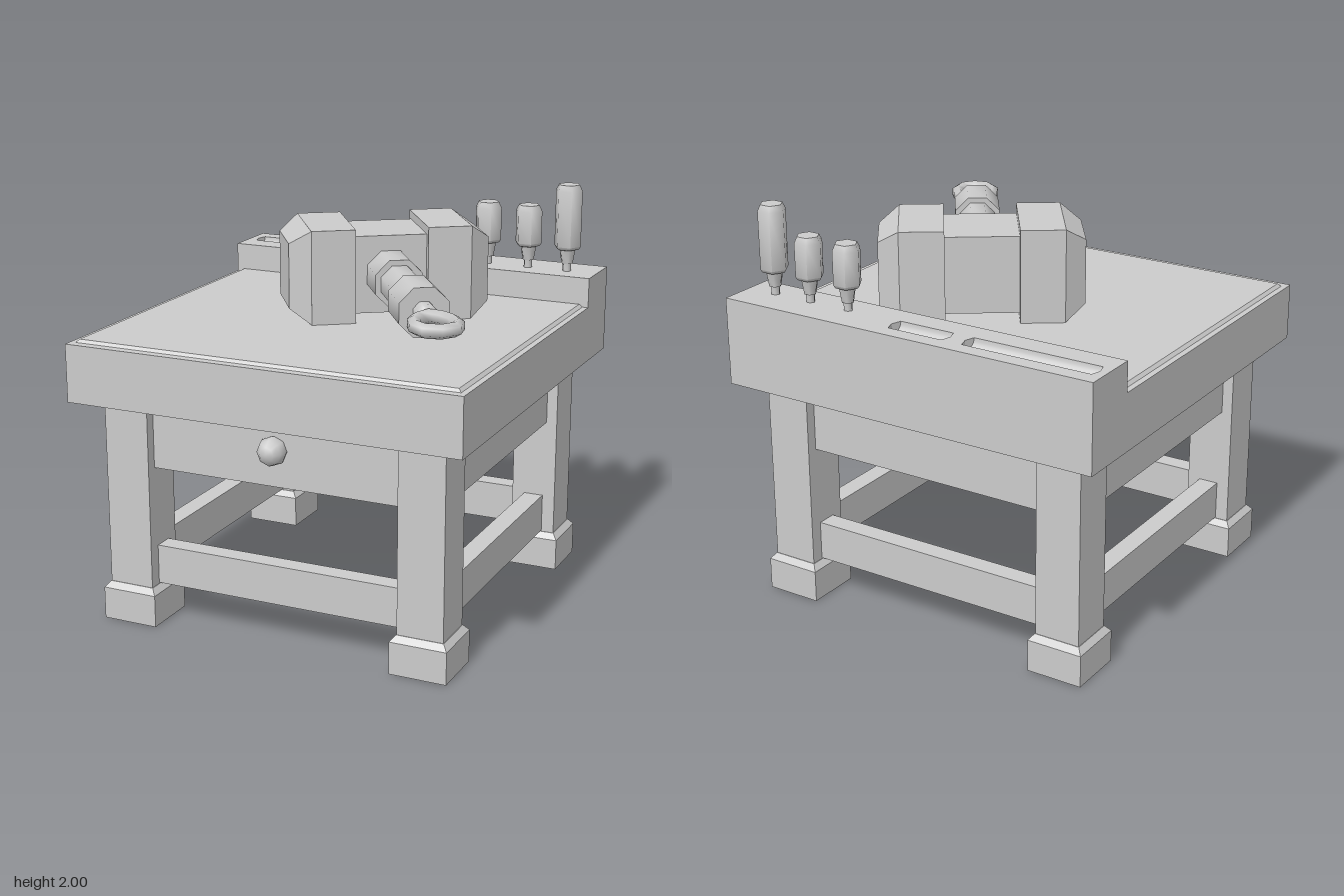
import * as THREE from 'three';
import { toCreasedNormals } from 'three/addons/utils/BufferGeometryUtils.js';

const flat = new THREE.MeshStandardMaterial({ color: 0xcccccc, flatShading: true });
const smooth = new THREE.MeshStandardMaterial({ color: 0xcccccc });
const open = new THREE.MeshStandardMaterial({ color: 0xcccccc, side: THREE.DoubleSide });

function add(parent, name, geometry, material = flat) {
  const mesh = new THREE.Mesh(geometry, material);
  mesh.name = name;
  parent.add(mesh);
  return mesh;
}

// Box given by its limits on each axis
function span(x0, x1, y0, y1, z0, z1) {
  return new THREE.BoxGeometry(x1 - x0, y1 - y0, z1 - z0)
    .translate((x0 + x1) / 2, (y0 + y1) / 2, (z0 + z1) / 2);
}

// Square block tapering from width w0 (bottom) to w1 (top), base at y = 0
function taper(w0, w1, h) {
  return new THREE.CylinderGeometry(w1 / Math.SQRT2, w0 / Math.SQRT2, h, 4)
    .rotateY(Math.PI / 4).translate(0, h / 2, 0);
}

// Faceted turned part, rotated so that flats face the axes
function turned(profile, sides) {
  const points = profile.map(([r, y]) => new THREE.Vector2(r, y));
  const g = new THREE.LatheGeometry(points, sides).rotateY(Math.PI / sides);
  return toCreasedNormals(g, 1.1);
}

function createTable() {
  const table = new THREE.Group();
  table.name = 'table';

  // Top slab with a slightly raised work surface
  add(table, 'topSlab', span(-1, 1, 1.12, 1.405, -0.7, 1));
  const panel = taper(1, 0.985, 0.015).scale(1.94, 1, 1.66).translate(0, 1.405, 0.125);
  add(table, 'workSurface', panel);

  // Back rail with two rounded trays let into its top
  add(table, 'backRail', span(-1, 1, 1.12, 1.5, -1, -0.7));
  const rail = new THREE.Shape([[-1, 0.7], [1, 0.7], [1, 1], [-1, 1]].map(p => new THREE.Vector2(...p)));
  for (const [x0, x1] of [[-0.96, -0.27], [-0.19, 0.13]]) {
    rail.holes.push(new THREE.Path([
      [x0, 0.87], [x0 + 0.015, 0.92], [x1 - 0.015, 0.92],
      [x1, 0.87], [x1 - 0.015, 0.82], [x0 + 0.015, 0.82],
    ].map(p => new THREE.Vector2(...p))));
    const tray = new THREE.CylinderGeometry(0.05, 0.05, x1 - x0, 12, 1, true, Math.PI / 2, Math.PI)
      .rotateY(Math.PI / 2).rotateZ(Math.PI / 2);
    // Keep the lower half of the tube as the tray floor
    const pos = tray.attributes.position;
    for (let i = 0; i < pos.count; i++) pos.setY(i, -Math.abs(pos.getY(i)));
    tray.computeVertexNormals();
    add(table, 'trayFloor', tray.translate((x0 + x1) / 2, 1.553, -0.87), open);
  }
  const railTop = new THREE.ExtrudeGeometry(rail, { depth: 0.055, bevelEnabled: false });
  add(table, 'railTop', railTop.rotateX(-Math.PI / 2).translate(0, 1.5, 0));

  // Drawer case and knob
  add(table, 'drawerCase', span(-0.82, 0.82, 0.79, 1.12, -0.82, 0.82));
  add(table, 'drawerKnob', new THREE.SphereGeometry(0.072, 8, 6).rotateX(Math.PI / 2)
    .translate(0, 0.97, 0.84), smooth);

  // Legs with block feet
  for (const sx of [-1, 1]) for (const sz of [-1, 1]) {
    const leg = new THREE.Group();
    leg.name = 'leg';
    leg.position.set(sx * 0.76, 0, sz * 0.76);
    add(leg, 'legPost', span(-0.115, 0.115, 0.16, 1.12, -0.115, 0.115));
    add(leg, 'foot', span(-0.142, 0.142, 0, 0.16, -0.142, 0.142));
    add(leg, 'footBevel', taper(0.284, 0.235, 0.03).translate(0, 0.16, 0));
    table.add(leg);
  }

  // Four stretchers between the legs
  for (let i = 0; i < 4; i++) {
    add(table, 'stretcher', span(-0.65, 0.65, 0.195, 0.39, 0.71, 0.81).rotateY(i * Math.PI / 2));
  }
  return table;
}

function createHammer() {
  const hammer = new THREE.Group();
  hammer.name = 'hammer';
  hammer.position.set(0.148, 1.65, -0.103);
  hammer.rotation.y = 0.608;

  // Head: centre block and two bevelled striking blocks
  add(hammer, 'headCentre', span(-0.18, 0.18, -0.19, 0.19, -0.255, 0.125));
  for (const side of [-1, 1]) {
    const block = new THREE.BoxGeometry(0.215, 0.46, 0.46);
    add(hammer, 'headBlock', block.translate(side * 0.285, 0, -0.065));
    const face = taper(0.46, 0.32, 0.1).rotateZ(-side * Math.PI / 2);
    add(hammer, 'strikingFace', face.translate(side * 0.392, 0, -0.065));
  }

  // Handle: collar, shaft, grip and neck
  const handle = turned([
    [0, 0.11], [0.124, 0.11], [0.124, 0.34], [0.095, 0.34], [0.095, 0.655],
    [0.124, 0.655], [0.124, 0.9], [0.055, 0.9], [0.055, 0.95], [0.035, 0.985], [0, 0.985],
  ], 8);
  add(hammer, 'handle', handle.rotateX(Math.PI / 2), smooth);

  // Hanging loop, wider at its far end
  const loop = new THREE.CatmullRomCurve3([
    [0, 0.98], [0.06, 1.03], [0.095, 1.13], [0.075, 1.22],
    [0, 1.255], [-0.075, 1.22], [-0.095, 1.13], [-0.06, 1.03],
  ].map(([x, z]) => new THREE.Vector3(x, 0.005, z)), true);
  add(hammer, 'hangingLoop', new THREE.TubeGeometry(loop, 10, 0.034, 6, true), smooth);
  return hammer;
}

// Hand tool standing in the rail
function createTool(x, top) {
  const tool = new THREE.Group();
  tool.name = 'standingTool';
  tool.position.set(x, 0, -0.825);
  const body = turned([
    [0, 1.54], [0.022, 1.54], [0.022, 1.595], [0.03, 1.595], [0.042, 1.665],
    [0.06, 1.67], [0.07, 1.685], [0.07, top - 0.03], [0.055, top], [0, top],
  ], 6);
  add(tool, 'toolBody', body, smooth);
  return tool;
}

export function createModel() {
  const model = new THREE.Group();
  model.name = 'workbenchWithHammer';
  model.add(createTable(), createHammer());
  for (const [x, top] of [[0.41, 1.88], [0.63, 1.88], [0.84, 2]]) model.add(createTool(x, top));
  return model;
}
